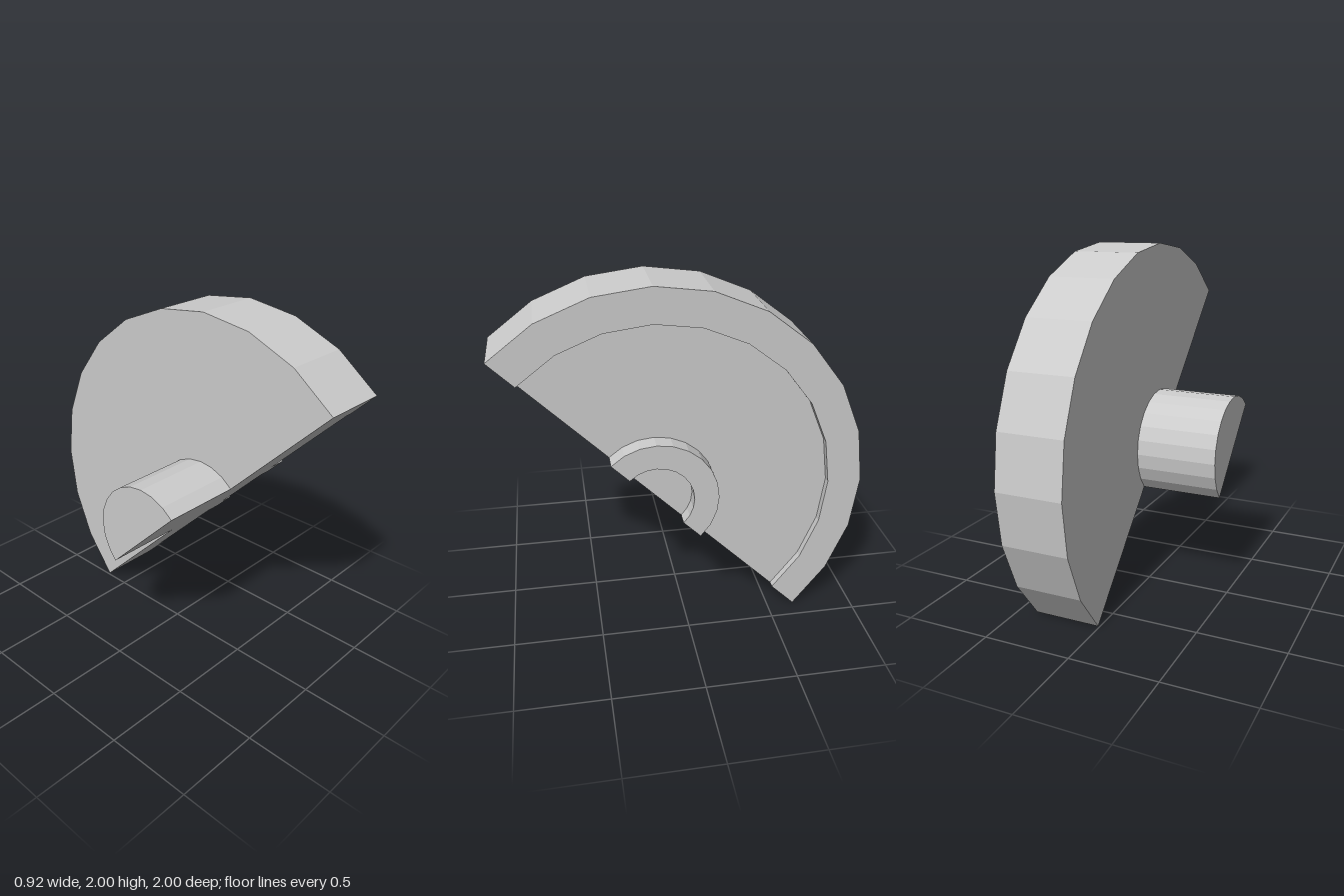
import * as THREE from 'three';

const R = 1.1716;               // outer radius of the half wheel
const STEPS = 12;               // facets in the half turn
const material = new THREE.MeshStandardMaterial({ color: 0xcccccc, flatShading: true });

// Points of the half circle, from -45 to 135 degrees
function arc(radius) {
  return Array.from({ length: STEPS + 1 }, (_, i) => {
    const a = -Math.PI / 4 + (Math.PI * i) / STEPS;
    return new THREE.Vector2(radius * Math.cos(a), radius * Math.sin(a));
  });
}

// Half disc (or half ring when inner > 0) running along x from x0 to x1
function halfRound(name, outer, inner, x0, x1) {
  const points = arc(outer);
  if (inner > 0) points.push(...arc(inner).reverse());
  const geometry = new THREE.ExtrudeGeometry(new THREE.Shape(points), {
    depth: x1 - x0, bevelEnabled: false,
  });
  geometry.rotateY(Math.PI / 2);
  geometry.translate(x0, 0, 0);
  const mesh = new THREE.Mesh(geometry, material);
  mesh.name = name;
  return mesh;
}

export function createModel() {
  const group = new THREE.Group();
  group.name = 'halfWheel';
  const wheel = new THREE.Group();
  wheel.name = 'wheelSection';
  wheel.position.set(0, R * Math.SQRT1_2, 2 - R - 1 + 0.0 + (R - 1) * 2);
  wheel.position.z = R - 1;
  wheel.add(
    halfRound('shaft', 0.317, 0, -0.458, 0.01),
    halfRound('web', R, 0, 0.01, 0.355),
    halfRound('rim', R, 0.98, 0.355, 0.396),        // raised edge round the recess
    halfRound('hubRing', 0.342, 0.205, 0.355, 0.458),
    halfRound('boreFloor', 0.205, 0, 0.355, 0.376), // bottom of the hub bore
  );
  group.add(wheel);
  return group;
}
